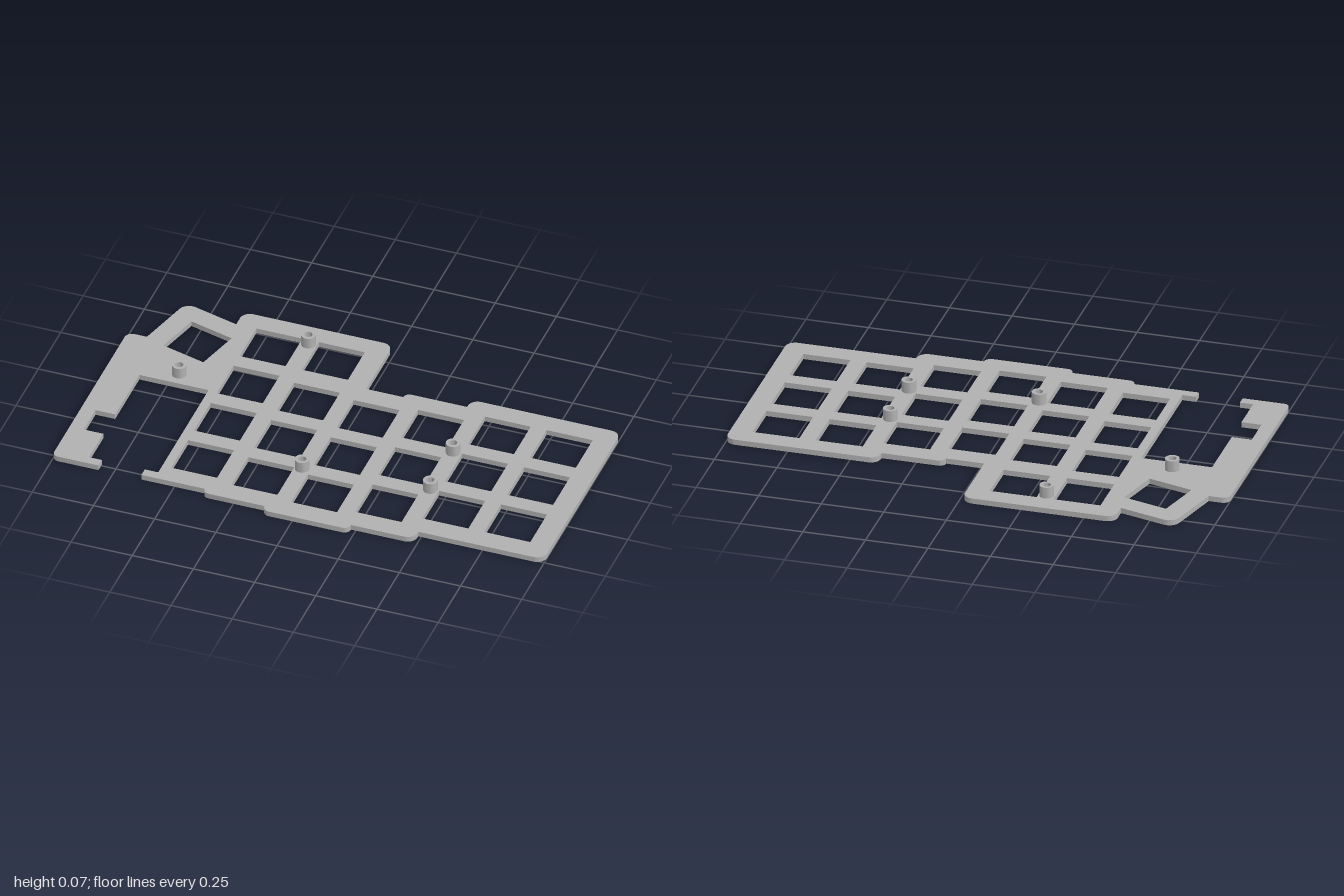
import * as THREE from 'three';
import { toCreasedNormals } from 'three/addons/utils/BufferGeometryUtils.js';

const THICK = 0.022;      // plate thickness
const POST_TOP = 0.068;   // top of the standoffs
const POST_R = 0.0285;
const BORE_R = 0.016;
const KEY = 0.188;        // side of a switch opening

// Closed outline from [x, z, cornerRadius] points
function roundedOutline(points) {
  const shape = new THREE.Shape();
  const n = points.length;
  points.forEach(([x, z, r = 0], i) => {
    const p = new THREE.Vector2(x, z);
    const toward = ([qx, qz], d) =>
      new THREE.Vector2(qx, qz).sub(p).setLength(d).add(p);
    const prev = points[(i + n - 1) % n], next = points[(i + 1) % n];
    const a = r ? toward(prev, r) : p;
    if (i === 0) shape.moveTo(a.x, a.y); else shape.lineTo(a.x, a.y);
    if (r) {
      const b = toward(next, r), c = toward(prev, r * 0.448), d = toward(next, r * 0.448);
      shape.bezierCurveTo(c.x, c.y, d.x, d.y, b.x, b.y);
    }
  });
  shape.closePath();
  return shape;
}

function squareHole(x, z, angle = 0) {
  const path = new THREE.Path();
  const pts = [[-1, -1], [-1, 1], [1, 1], [1, -1]].map(([u, v]) =>
    new THREE.Vector2(u * KEY / 2, v * KEY / 2)
      .rotateAround(new THREE.Vector2(), angle)
      .add(new THREE.Vector2(x, z)));
  return path.setFromPoints([...pts, pts[0]]);
}

function roundHole(x, z, r) {
  return new THREE.Path().absarc(x, z, r, 0, Math.PI * 2, true);
}

// Extrude an (x, z) shape upwards from y0 to y1
function slab(shape, y0, y1) {
  const g = new THREE.ExtrudeGeometry(shape, { depth: y1 - y0, bevelEnabled: false, curveSegments: 10 });
  g.rotateX(Math.PI / 2);
  g.translate(0, y1, 0);
  return toCreasedNormals(g, Math.PI / 5);
}

export function createModel() {
  const group = new THREE.Group();
  const grey = new THREE.MeshStandardMaterial({ color: 0xb0b0b0 });
  grey.name = 'plate grey';

  // Stepped plate outline, with the controller bay cut in from the front left
  const outline = roundedOutline([
    [-1, -0.31, 0.03], [-0.92, -0.31], [-0.853, -0.564, 0.045], [-0.626, -0.503],
    [-0.626, -0.586, 0.04], [-0.015, -0.586, 0.04], [-0.015, -0.285],
    [0.137, -0.285], [0.137, -0.31, 0.024], [0.388, -0.31], [0.388, -0.358, 0.04],
    [1, -0.358, 0.04], [1, 0.507, 0.04], [0.488, 0.507], [0.488, 0.555, 0.04],
    [0.231, 0.555], [0.231, 0.583, 0.027], [-0.122, 0.583, 0.027], [-0.122, 0.555],
    [-0.376, 0.555, 0.024], [-0.376, 0.53],
    [-0.635, 0.53], [-0.635, 0.492], [-0.58, 0.492], [-0.58, -0.07],
    [-0.863, -0.07], [-0.863, 0.2], [-0.943, 0.2], [-0.943, 0.332],
    [-0.863, 0.332], [-0.863, 0.492], [-0.81, 0.492], [-0.81, 0.53], [-1, 0.53, 0.024],
  ]);

  // Switch openings, column by column
  const columns = [
    [-0.45, [-0.41, -0.156, 0.099, 0.353]],
    [-0.195, [-0.41, -0.133, 0.122, 0.376]],
    [0.058, [-0.107, 0.147, 0.402]],
    [0.312, [-0.133, 0.122, 0.376]],
    [0.567, [-0.181, 0.073, 0.327]],
    [0.82, [-0.181, 0.073, 0.327]],
  ];
  for (const [x, rows] of columns)
    for (const z of rows) outline.holes.push(squareHole(x, z));
  outline.holes.push(squareHole(-0.727, -0.346, Math.PI / 12));

  // Hollow standoffs, bored through the plate
  const posts = [[-0.322, -0.479], [-0.721, -0.127], [-0.07, 0.278], [0.438, -0.018], [0.438, 0.236]];
  for (const [x, z] of posts) outline.holes.push(roundHole(x, z, BORE_R));

  const plate = new THREE.Mesh(slab(outline, 0, THICK), grey);
  plate.name = 'switchPlate';
  group.add(plate);

  const ring = new THREE.Shape().absarc(0, 0, POST_R, 0, Math.PI * 2, false);
  ring.holes.push(roundHole(0, 0, BORE_R));
  const postGeometry = slab(ring, THICK, POST_TOP);
  posts.forEach(([x, z], i) => {
    const post = new THREE.Mesh(postGeometry, grey);
    post.name = `standoff${i + 1}`;
    post.position.set(x, 0, z);
    group.add(post);
  });

  return group;
}
